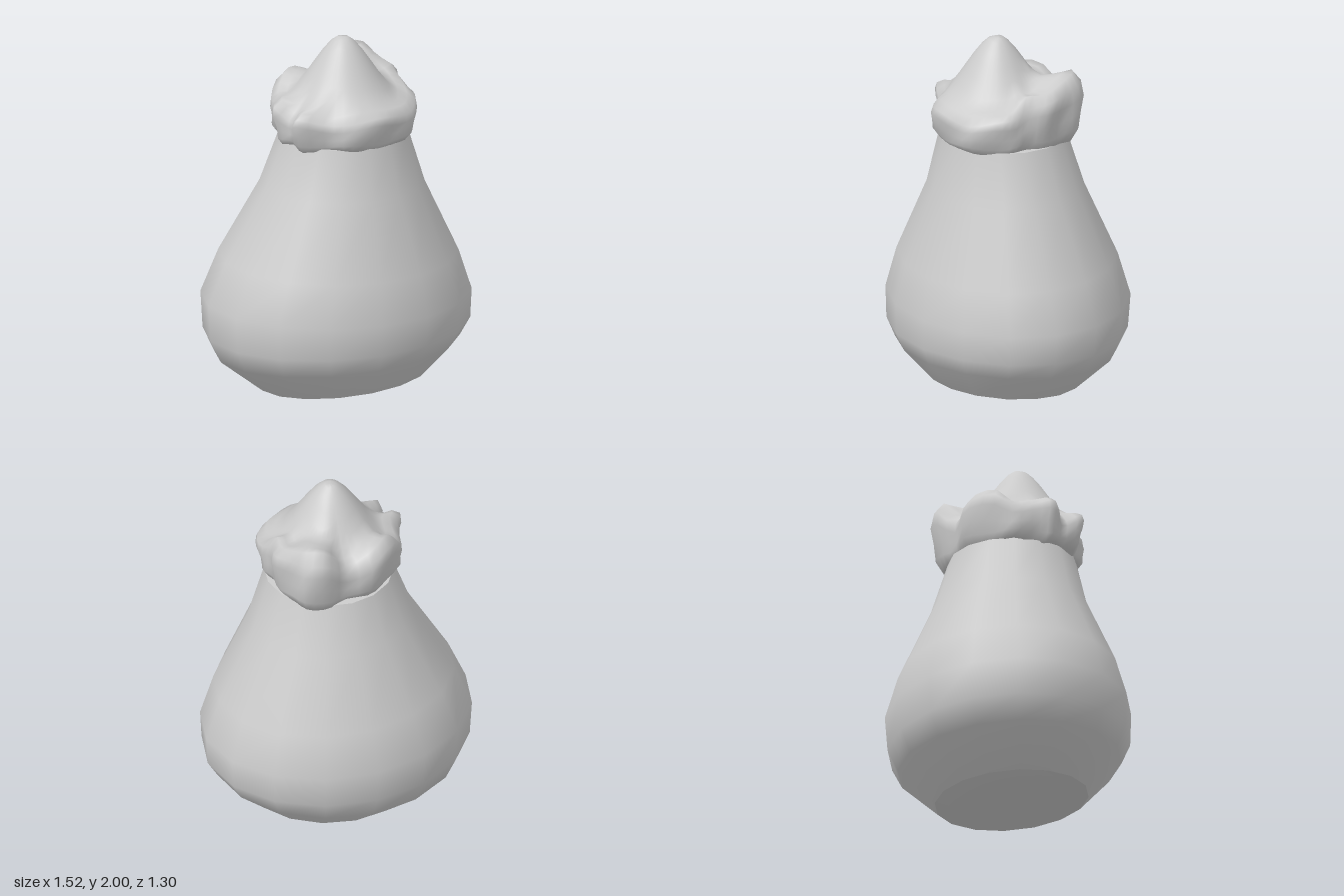
import * as THREE from 'three';

const material = new THREE.MeshStandardMaterial({ color: 0xcccccc, side: THREE.DoubleSide });

// Skin closed rings of points, listed from bottom to top, with smooth normals.
function loft(name, rings) {
  const n = rings[0].length, index = [];
  for (let i = 0; i < rings.length - 1; i++) {
    for (let j = 0; j < n; j++) {
      const k = (j + 1) % n, a = i * n + j, b = i * n + k, c = a + n, d = b + n;
      index.push(a, c, b, b, c, d);
    }
  }
  const geometry = new THREE.BufferGeometry().setFromPoints(rings.flat());
  geometry.setIndex(index);
  geometry.computeVertexNormals();
  const mesh = new THREE.Mesh(geometry, material);
  mesh.name = name;
  return mesh;
}

// Sixteen-sided oval ring, tilted by a slope along x and z.
function oval([y, rx, rz, cx, cz, sx, sz]) {
  return Array.from({ length: 16 }, (_, j) => {
    const a = (j / 16) * Math.PI * 2 + 0.05;
    const x = Math.cos(a) * rx, z = Math.sin(a) * rz;
    return new THREE.Vector3(cx + x, y + sx * x + sz * z, cz + z);
  });
}

// Gathered cloth outline: x, shoulder height, z
const outline = [
  [0.38, 1.75, 0.03], [0.40, 1.69, 0.13], [0.37, 1.67, 0.23], [0.29, 1.65, 0.36],
  [0.16, 1.65, 0.41], [0.03, 1.66, 0.43], [-0.12, 1.65, 0.41], [-0.22, 1.62, 0.32],
  [-0.38, 1.67, 0.26], [-0.36, 1.62, 0.16], [-0.42, 1.69, 0.08], [-0.37, 1.70, 0],
  [-0.34, 1.67, -0.14], [-0.25, 1.75, -0.22], [-0.10, 1.74, -0.32], [0.06, 1.68, -0.30],
  [0.20, 1.81, -0.34], [0.32, 1.83, -0.30], [0.36, 1.80, -0.19], [0.40, 1.76, -0.07],
];

// Height of the central peak at a distance from its axis
function peak(d) {
  return 1.55 + 0.46 * Math.exp(-Math.pow(d / 0.25, 1.9));
}

function gatheredTop() {
  const curve = new THREE.CatmullRomCurve3(outline.map(p => new THREE.Vector3(...p)), true);
  const edge = curve.getPoints(48).slice(0, 48);
  const cx = 0.01, cz = 0.06;
  const at = (p, s, y) => new THREE.Vector3(cx + (p.x - cx) * s, y, cz + (p.z - cz) * s);
  const rings = [];
  // Puckered skirt around the neck
  for (const [s, t] of [[0.72, 0.05], [0.87, 0], [0.95, 0.18], [0.96, 0.4], [1, 0.65], [0.98, 0.84]]) {
    rings.push(edge.map((p, j) => {
      const fold = Math.sin(j * 0.92 + t * 5) * 0.018;
      return at(p, s + fold * (t < 0.9 ? 1 : 0), 1.44 + (p.y - 1.44) * t + fold * 0.5);
    }));
  }
  // Lumpy shoulders rising into the peak
  for (const s of [0.88, 0.76, 0.63, 0.5, 0.38, 0.26, 0.15, 0.07, 0]) {
    rings.push(edge.map((p, j) => {
      const v = at(p, s, 0);
      const d = Math.hypot(v.x - 0.005, v.z - 0.07);
      const lump = p.y - 0.07 * Math.pow(1 - s, 1.2) + 0.012 * Math.sin(j * 0.79 + s * 9) * s;
      const h = peak(d), k = 0.03;
      v.y = k * Math.log(Math.exp((h - 1.7) / k) + Math.exp((lump - 1.7) / k)) + 1.7;
      if (s > 0.8) v.y = Math.min(v.y, p.y + 0.005);
      v.y = Math.min(v.y, 2);
      return v;
    }));
  }
  return loft('gatheredTop', rings);
}

export function createModel() {
  const group = new THREE.Group();
  group.name = 'sack';

  // Rings: height, x radius, z radius, centre x, centre z, slope x, slope z
  const base = [0.036, 0.48, 0.405, 0.025, 0.035, 0.05, 0.055];
  const neck = [1.45, 0.355, 0.35, 0.025, 0.04, 0, 0];
  group.add(loft('body', [
    base,
    [0.22, 0.69, 0.59, 0, 0.01, 0.03, 0.035],
    [0.335, 0.75, 0.64, 0, 0.005, 0.01, 0.01],
    [0.52, 0.76, 0.65, 0, 0, -0.013, -0.01],
    [0.755, 0.67, 0.59, 0.01, 0.01, -0.02, -0.02],
    [1.16, 0.455, 0.425, 0.025, 0.025, -0.02, -0.01],
    neck,
  ].map(oval)));

  // Shallow dished underside
  group.add(loft('underside', [
    [0.075, 0, 0, 0.025, 0.035, 0, 0],
    [0.065, 0.26, 0.22, 0.025, 0.035, 0.05, 0.055],
    [0.045, 0.4, 0.34, 0.025, 0.035, 0.05, 0.055],
    base,
  ].map(oval)));

  // Closed neck under the gathered cloth
  group.add(loft('neckCap', [neck, [1.46, 0, 0, 0.025, 0.04, 0, 0]].map(oval)));
  group.add(gatheredTop());
  return group;
}
